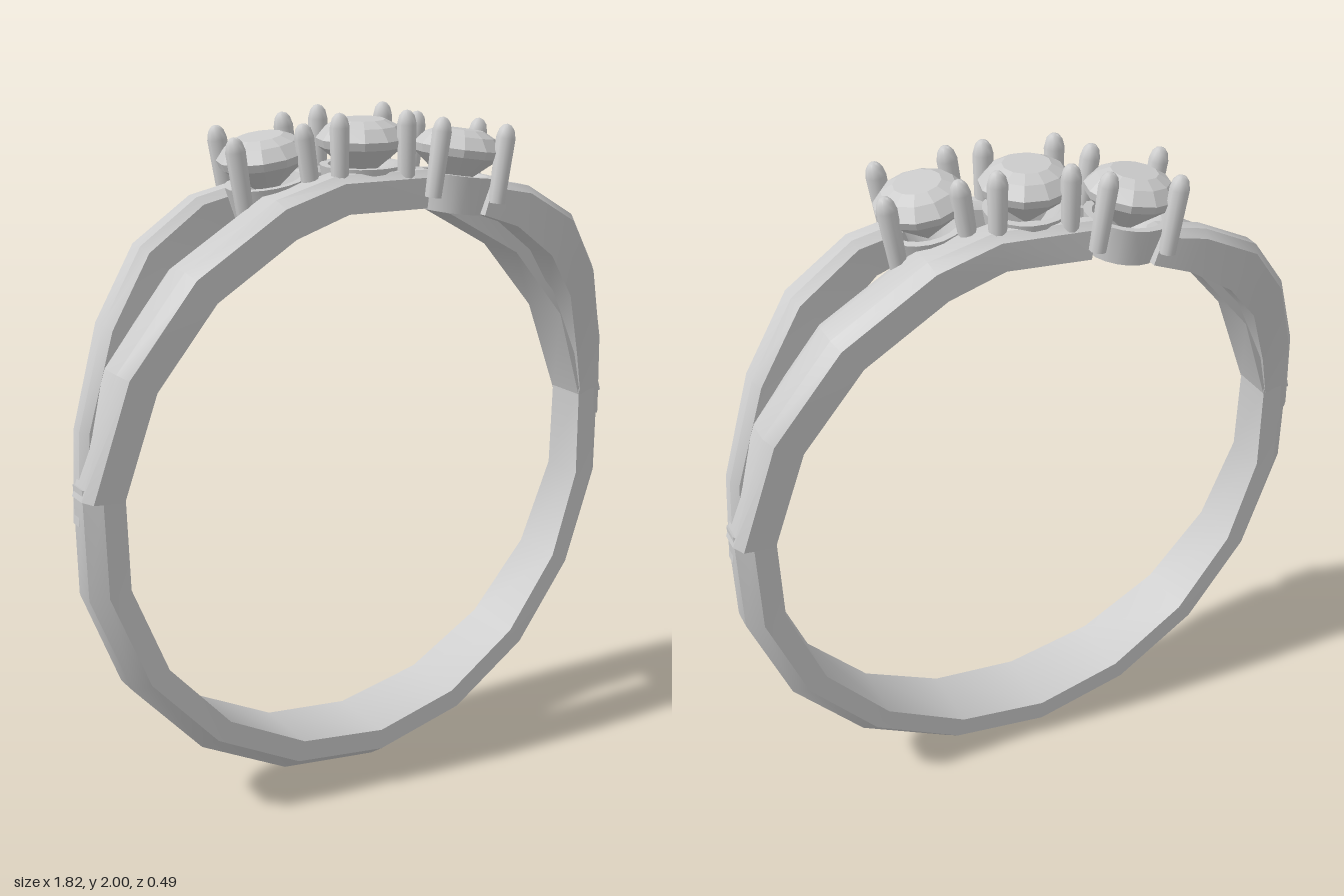
import * as THREE from 'three';
import { toCreasedNormals } from 'three/addons/utils/BufferGeometryUtils.js';

const CENTRE_Y = 0.92;
const metal = new THREE.MeshStandardMaterial({ color: 0xcccccc });
const facet = new THREE.MeshStandardMaterial({ color: 0xcccccc, flatShading: true });

function mesh(name, geometry, material = metal) {
  const m = new THREE.Mesh(geometry, material);
  m.name = name;
  return m;
}

// Sweeps a chamfered section round the finger.
// Each station: [angle in degrees, inner radius, outer radius, z min, z max]
function sweep(stations, chamfer) {
  const pos = [], index = [], n = 6;
  for (const [deg, ri, ro, z0, z1] of stations) {
    const a = THREE.MathUtils.degToRad(deg), b = (z1 - z0) * 0.27;
    const section = [[ri, z0], [ro - chamfer, z0], [ro, z0 + b], [ro, z1 - b], [ro - chamfer, z1], [ri, z1]];
    for (const [r, z] of section) pos.push(r * Math.cos(a), CENTRE_Y + r * Math.sin(a), z);
  }
  const last = (stations.length - 1) * n;
  for (let i = 0; i < last; i += n) {
    for (let j = 0; j < n; j++) {
      const k = (j + 1) % n;
      index.push(i + j, i + n + j, i + k, i + k, i + n + j, i + n + k);
    }
  }
  for (let k = 1; k < n - 1; k++) {
    index.push(0, k, k + 1, last, last + k + 1, last + k);
  }
  const g = new THREE.BufferGeometry();
  g.setAttribute('position', new THREE.Float32BufferAttribute(pos, 3));
  g.setIndex(index);
  return toCreasedNormals(g, 0.5);
}

// Lower shank, widest at the bottom
function shank() {
  const half = [0.062, 0.067, 0.08, 0.093, 0.104, 0.11];
  const stations = [];
  for (let i = 0; i <= 10; i++) {
    const w = half[Math.min(i, 10 - i)];
    stations.push([-190 + i * 20, 0.81, 0.92, -w, w]);
  }
  return mesh('shank', sweep(stations, 0.045));
}

// One shoulder: an inner strand passing the middle stone and a raised outer strand
function shoulder() {
  const g = new THREE.Group();
  g.name = 'shoulder';
  g.add(mesh('innerStrand', sweep([
    [8, 0.81, 0.92, -0.066, 0.06],
    [30, 0.81, 0.92, -0.085, 0.065],
    [50, 0.81, 0.92, -0.095, 0.06],
    [70, 0.81, 0.92, -0.1, 0.05],
    [82, 0.82, 0.925, -0.11, 0.0],
    [98, 0.82, 0.925, -0.155, -0.1],
  ], 0.02)));
  g.add(mesh('outerStrand', sweep([
    [3, 0.825, 0.91, -0.02, 0.055],
    [19, 0.815, 0.932, 0.0, 0.075],
    [36, 0.825, 0.955, 0.05, 0.145],
    [50, 0.83, 0.972, 0.105, 0.205],
    [63, 0.835, 0.955, 0.14, 0.23],
    [71, 0.83, 0.93, 0.13, 0.215],
  ], 0.02)));
  return g;
}

// Stone, collet and four prongs; the origin is at the girdle
function setting(name) {
  const g = new THREE.Group();
  g.name = name;
  const lathe = (points, sides) =>
    new THREE.LatheGeometry(points.map(([r, y]) => new THREE.Vector2(r, y)), sides);

  const stone = mesh('stone', lathe(
    [[0, -0.11], [0.122, -0.01], [0.128, 0.012], [0.1, 0.045], [0.065, 0.062], [0, 0.062]], 12), facet);
  g.add(stone);

  const collet = mesh('collet', toCreasedNormals(lathe(
    [[0.045, -0.165], [0.1, -0.165], [0.118, -0.06], [0.095, -0.06], [0.045, -0.165]], 20), 0.6));
  g.add(collet);

  const prong = lathe([[0, -0.125], [0.024, -0.125], [0.028, 0.055], [0.022, 0.078], [0.012, 0.09], [0, 0.094]], 10);
  for (let i = 0; i < 4; i++) {
    const a = Math.PI / 3 + i * Math.PI / 2;
    const p = mesh('prong', toCreasedNormals(prong, 0.7));
    p.position.set(0.136 * Math.cos(a), 0, 0.136 * Math.sin(a));
    g.add(p);
  }
  return g;
}

export function createModel() {
  const ring = new THREE.Group();
  ring.name = 'ring';
  ring.add(shank());

  // Shoulders repeat by a half turn about the vertical axis
  for (const turn of [0, Math.PI]) {
    const s = shoulder();
    s.rotation.y = turn;
    ring.add(s);
  }

  // Three stones on a diagonal, the outer two leaning away
  for (const side of [-1, 0, 1]) {
    const s = setting(side ? 'sideSetting' : 'centreSetting');
    s.position.set(0.258 * side, side ? 1.87 : 1.906, 0.1 * side);
    s.rotation.z = -0.15 * side;
    ring.add(s);
  }
  return ring;
}
